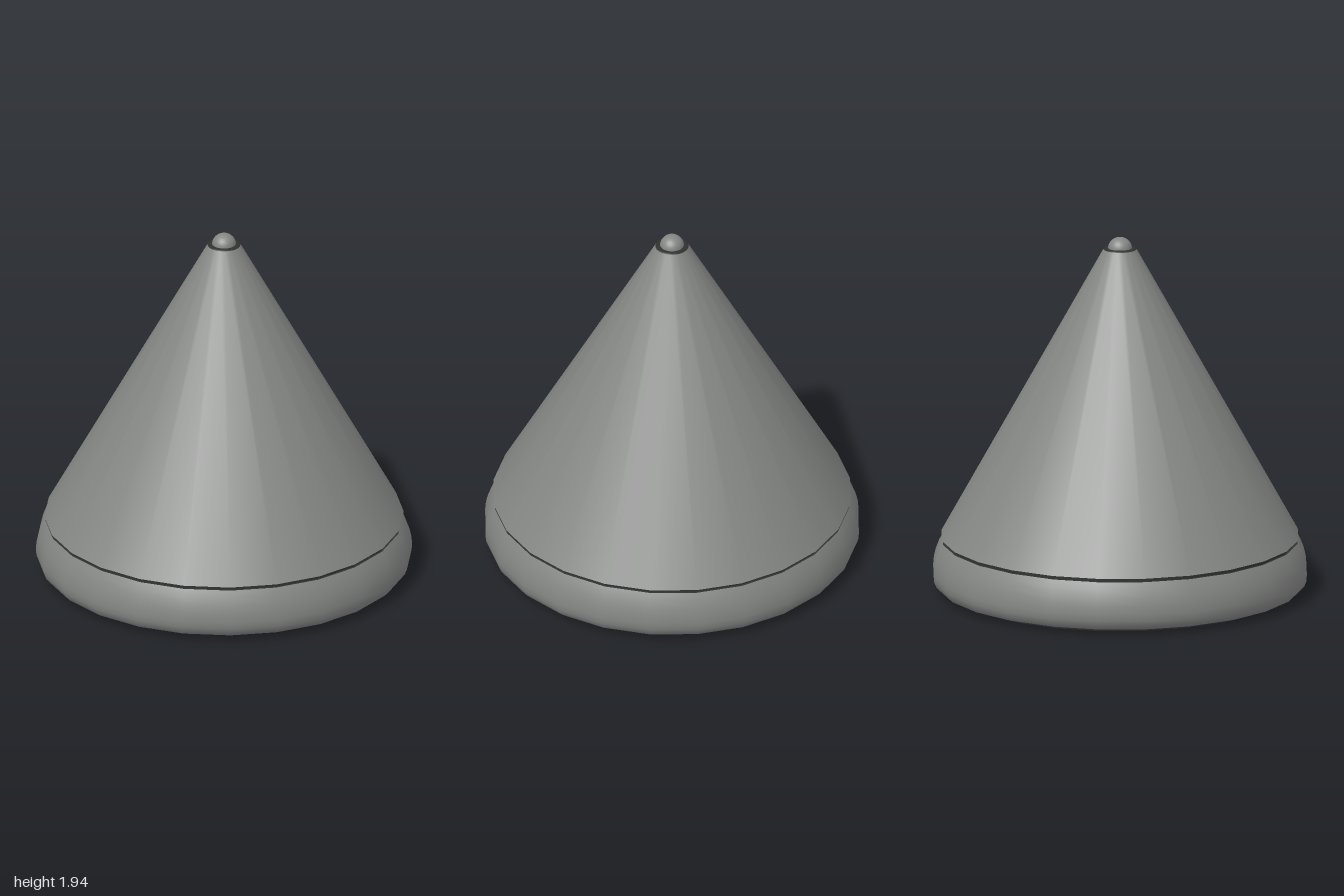
import * as THREE from 'three';

const SIDES = 24;

export function createModel() {
  const grey = new THREE.MeshStandardMaterial({ color: 0x858785 });
  grey.name = 'shell grey';
  const dark = new THREE.MeshStandardMaterial({ color: 0x303232 });
  dark.name = 'seam dark grey';

  const model = new THREE.Group();
  model.name = 'roundedCone';

  // Turns one or more profiles (radius, height; bottom to top); each keeps its own smooth normals
  function turned(name, material, ...profiles) {
    const part = new THREE.Group();
    part.name = name;
    profiles.forEach((profile, i) => {
      const points = profile.map(([r, y]) => new THREE.Vector2(r, y));
      const mesh = new THREE.Mesh(new THREE.LatheGeometry(points, SIDES), material);
      mesh.name = name + (i ? 'Face' + i : '');
      part.add(mesh);
    });
    model.add(part);
  }

  // Flat foot plate under the base
  turned('footPlate', grey, [[0, 0], [0.885, 0]]);
  turned('footSeam', dark, [[0.885, 0], [0.893, 0.003], [0.893, 0.018]]);

  // Rounded base ring
  turned('baseRing', grey, [
    [0.893, 0.018], [0.93, 0.02], [0.965, 0.03], [0.985, 0.05], [0.997, 0.08],
    [1, 0.115], [0.996, 0.16], [0.985, 0.205], [0.968, 0.25], [0.95, 0.284],
  ]);

  // Recessed seam between base and cone
  turned('baseSeam', dark,
    [[0.95, 0.284], [0.938, 0.284]],
    [[0.938, 0.284], [0.938, 0.304]],
    [[0.938, 0.304], [0.955, 0.304]]);

  // Tall cone
  turned('cone', grey, [[0.955, 0.304], [0.088, 1.872]]);

  // Dark collar around the tip
  turned('tipCollar', dark, [[0.088, 1.872], [0.082, 1.878], [0.06, 1.878]]);

  // Small domed tip
  const dome = [];
  for (let i = 0; i <= 8; i++) {
    const a = (i / 8) * Math.PI / 2;
    dome.push([i === 8 ? 0 : 0.064 * Math.cos(a), 1.876 + 0.06 * Math.sin(a)]);
  }
  turned('tip', grey, dome);

  return model;
}
